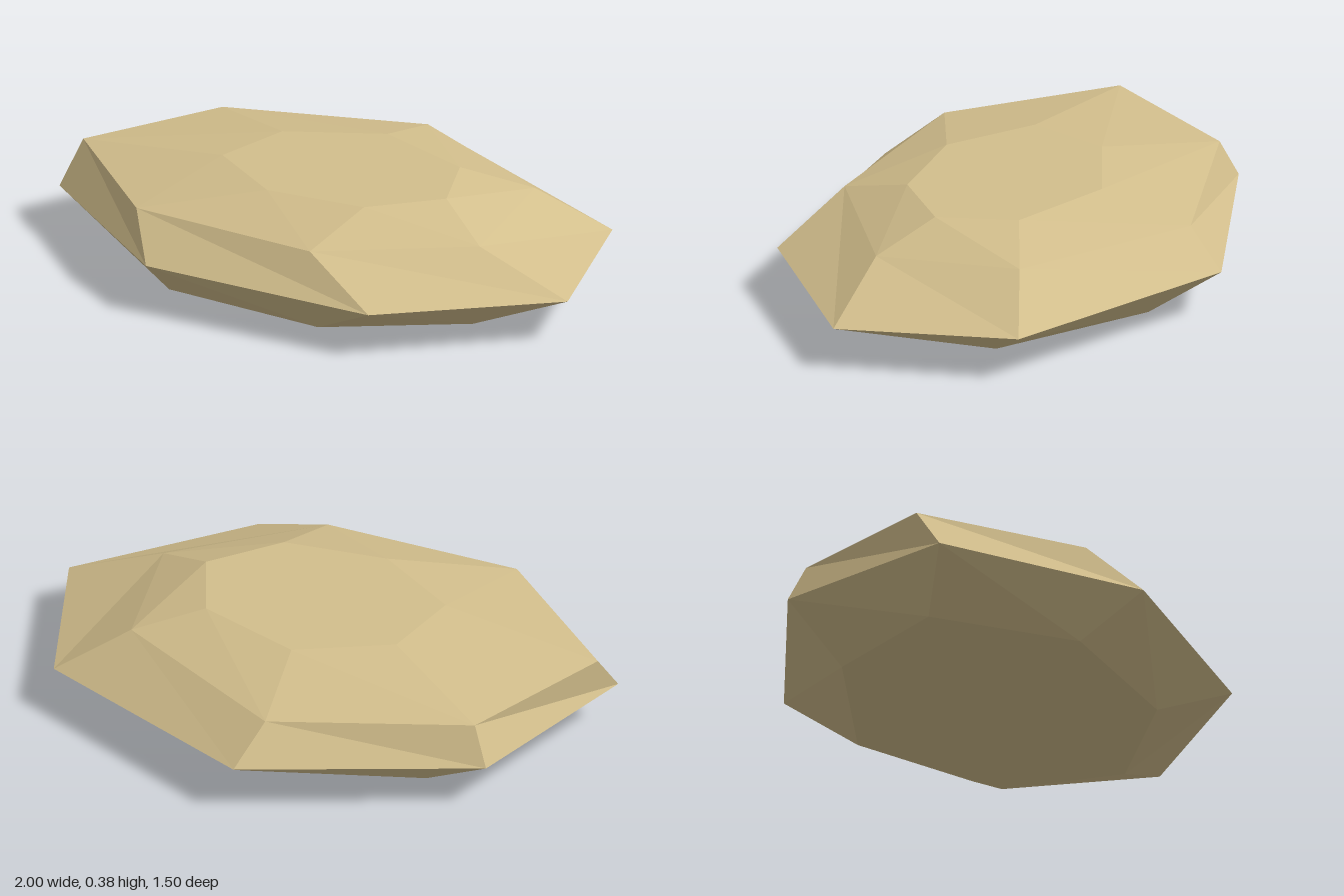
import * as THREE from 'three';

// Each ring runs counter-clockwise as seen from above: [x, y, z]
const RINGS = [
  // flat underside
  [[0.64, 0, 0.21], [0.57, 0, -0.22], [0.04, 0, -0.51], [-0.55, 0, -0.29], [-0.79, 0, 0.15], [-0.39, 0, 0.53], [0.22, 0, 0.53]],
  // widest rim
  [[1, 0.15, 0.17], [0.78, 0.16, -0.43], [-0.04, 0.17, -0.75], [-0.81, 0.16, -0.37], [-1, 0.16, 0.29], [-0.34, 0.17, 0.745], [0.52, 0.16, 0.67]],
  // shoulder
  [[0.66, 0.285, 0.2], [0.55, 0.305, -0.3], [-0.09, 0.29, -0.6], [-0.75, 0.295, -0.33], [-0.97, 0.305, 0.19], [-0.48, 0.3, 0.595], [0.22, 0.295, 0.58]],
  // flat crown
  [[0.45, 0.375, -0.09 + 0.18], [0.33, 0.375, -0.17], [-0.04, 0.375, -0.28], [-0.35, 0.375, -0.1], [-0.4, 0.375, 0.19], [-0.1, 0.375, 0.365], [0.26, 0.375, 0.31]],
];

// Skins the rings with flat facets and closes both ends
function facetedLoft(rings) {
  const n = rings[0].length;
  const pos = [];
  const tri = (a, b, c) => pos.push(...a, ...b, ...c);
  for (let r = 0; r < rings.length - 1; r++) {
    const lo = rings[r], hi = rings[r + 1];
    for (let i = 0; i < n; i++) {
      const j = (i + 1) % n;
      tri(lo[i], lo[j], hi[i]);
      tri(hi[i], lo[j], hi[j]);
    }
  }
  const bottom = rings[0], top = rings[rings.length - 1];
  for (let i = 1; i < n - 1; i++) {
    tri(top[0], top[i], top[i + 1]);
    tri(bottom[0], bottom[i + 1], bottom[i]);
  }
  const geo = new THREE.BufferGeometry();
  geo.setAttribute('position', new THREE.Float32BufferAttribute(pos, 3));
  geo.computeVertexNormals();
  return geo;
}

export function createModel() {
  const group = new THREE.Group();
  group.name = 'flatRock';
  const sandstone = new THREE.MeshStandardMaterial({ color: 0xd2be8c });
  sandstone.name = 'sandstone';
  const rock = new THREE.Mesh(facetedLoft(RINGS), sandstone);
  rock.name = 'rock';
  group.add(rock);
  return group;
}
